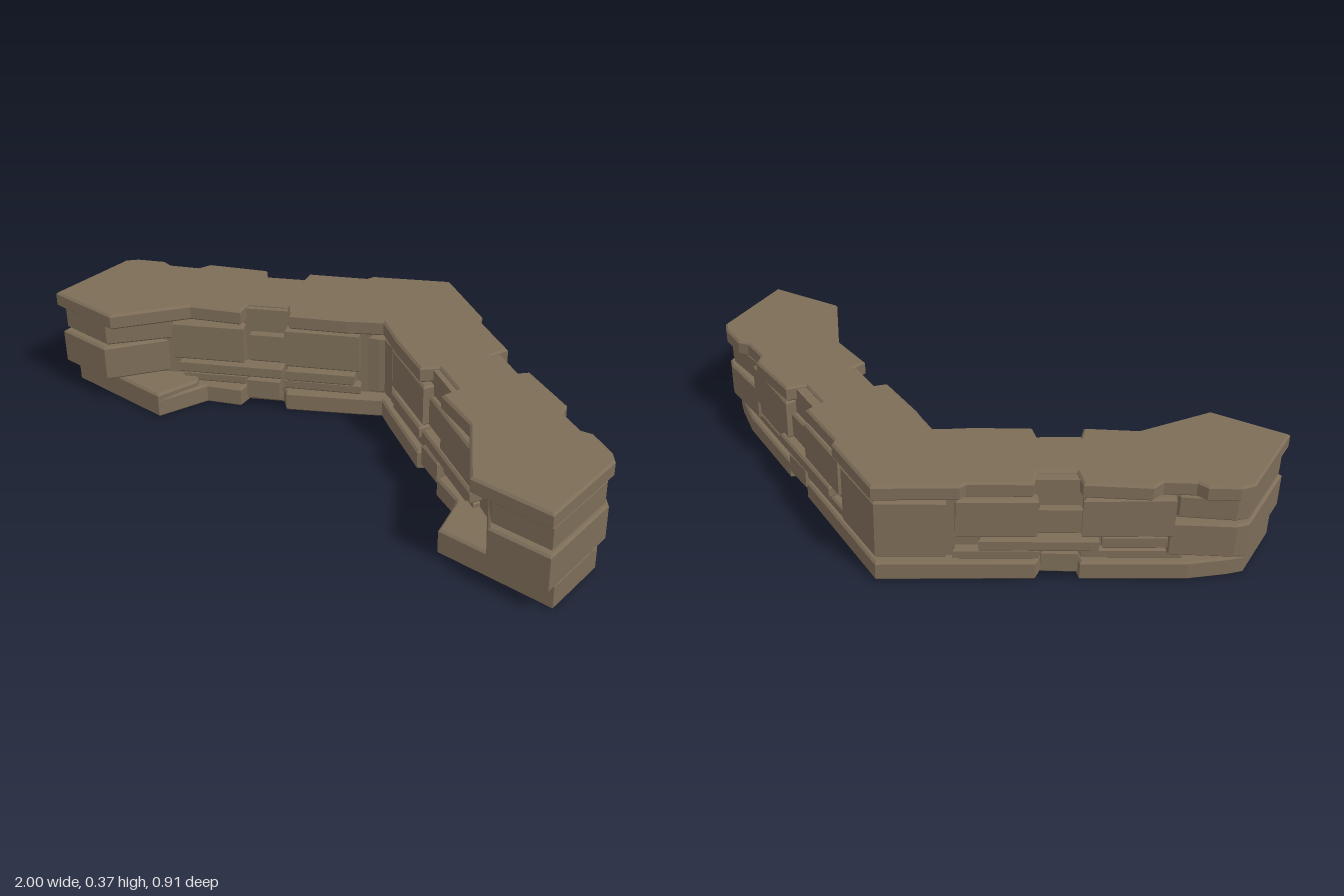
import * as THREE from 'three';

const C = Math.cos(Math.PI / 6), S = 0.5;
// Arm coordinates: u runs along the wall, v points out to the back; gives [x, z]
const arm = (u, v) => [C * u + S * v, S * u - C * v];

export function createModel() {
  const group = new THREE.Group();
  const stone = new THREE.MeshStandardMaterial({ color: 0x7d6d58, flatShading: true });
  let seed = 7;
  const wobble = (a) => {
    seed = (seed * 16807) % 2147483647;
    return (seed / 2147483647 - 0.5) * a;
  };

  // Bevelled slab between two heights, from an [x, z] outline
  function slab(name, y0, y1, pts, b = 0.007) {
    const shape = new THREE.Shape(pts.map(([x, z]) => new THREE.Vector2(x, z)));
    const geo = new THREE.ExtrudeGeometry(shape, {
      depth: y1 - y0 - 2 * b, bevelEnabled: b > 0, bevelSize: b,
      bevelThickness: b, bevelOffset: -b, bevelSegments: 1,
    });
    geo.rotateX(Math.PI / 2).translate(0, y1 - b, 0);
    const mesh = new THREE.Mesh(geo, stone);
    mesh.name = name;
    group.add(mesh);
  }
  const flip = (pts) => pts.map(([x, z]) => [-x, z]);
  function pair(name, y0, y1, pts) {
    slab(name + 'Left', y0, y1, pts);
    slab(name + 'Right', y0, y1, flip(pts));
  }
  // Full chevron from its left half; first and last points lie on x = 0
  function chevron(name, y0, y1, half, b) {
    slab(name, y0, y1, [...half, ...flip(half.slice(1, -1)).reverse()], b);
  }
  // Slightly irregular stone set in both arms
  function brick(name, u0, u1, v0, v1, y0, y1) {
    const p = [[u0, v0], [u1, v0], [u1, v1], [u0, v1]]
      .map(([u, v]) => arm(u + wobble(0.012), v + wobble(0.006)));
    pair(name, y0, y1, p);
  }

  // Recessed core that closes the joints
  chevron('core', 0.01, 0.36, [
    [0, -0.40], arm(0.78, 0.345), [0.96, 0.16], [0.96, 0.36], [0.82, 0.36],
    arm(0.66, 0.11), [0, -0.13],
  ], 0);

  // Coping course with notches along both faces
  chevron('coping', 0.315, 0.37, [
    [0, -0.458], arm(0.04, 0.394), arm(0.06, 0.376), arm(0.265, 0.378), arm(0.28, 0.312),
    arm(0.40, 0.312), arm(0.415, 0.38), arm(0.625, 0.396), arm(0.66, 0.365),
    arm(0.76, 0.37), arm(0.79, 0.395), [0.97, 0.10], [1, 0.135], [1, 0.455], [0.73, 0.455],
    [0.575, 0.235], arm(0.44, 0.07), arm(0.425, 0.13), arm(0.29, 0.13), arm(0.275, 0.07),
    arm(0.08, 0.066), [0.07, -0.04], [0, -0.085],
  ]);

  // Foundation course, with the feet reaching inward
  chevron('foundation', 0, 0.07, [
    [0, -0.447], arm(0.28, 0.384), arm(0.30, 0.34), arm(0.41, 0.34), arm(0.42, 0.384),
    arm(0.76, 0.384), [0.95, 0.13], [0.99, 0.17], [0.99, 0.40], [0.59, 0.40],
    [0.53, 0.225], arm(0.45, 0.06), arm(0.43, 0.11), arm(0.31, 0.11), arm(0.29, 0.06),
    [0.07, -0.035], [0, -0.08],
  ]);

  // End pillar stones
  pair('pillarFoot', 0.03, 0.09, [
    [0.80, 0.07], [0.95, 0.14], [0.99, 0.17], [0.99, 0.40], [0.59, 0.40], [0.55, 0.25], [0.65, 0.12],
  ]);
  pair('pillarLowerStone', 0.093, 0.22, [
    [0.79, 0.02], [0.97, 0.11], [0.997, 0.14], [0.997, 0.445], [0.79, 0.445], [0.65, 0.235], [0.65, 0.12],
  ]);
  pair('pillarUpperStone', 0.224, 0.31, [
    [0.80, 0.05], [0.96, 0.12], [0.99, 0.15], [0.99, 0.43], [0.79, 0.43], [0.64, 0.24], [0.65, 0.12],
  ]);

  // Corner stones at the bend
  chevron('outerCornerStone', 0.09, 0.303, [
    [0, -0.445], arm(0.0, 0.386), arm(0.0, 0.28), [0, -0.32],
  ]);
  chevron('innerCornerStone', 0.09, 0.30, [
    [0, -0.25], [0.05, -0.15], [0.05, -0.07], [0.015, -0.085], [0, -0.095],
  ], 0.004);

  // Outer face stones: start, end, outer v, bottom, top
  [
    ['backInnerStone', 0.03, 0.28, 0.382, 0.165, 0.308],
    ['backOuterStone', 0.42, 0.70, 0.382, 0.165, 0.312],
    ['backMiddleStone', 0.285, 0.415, 0.362, 0.165, 0.265],
    ['backThinStone', 0.10, 0.47, 0.388, 0.115, 0.161],
    ['backThinEndStone', 0.48, 0.72, 0.37, 0.112, 0.161],
    ['backLowStone', 0.02, 0.29, 0.374, 0.072, 0.112],
    ['backLowMiddleStone', 0.295, 0.41, 0.384, 0.03, 0.112],
    ['backLowEndStone', 0.42, 0.74, 0.368, 0.072, 0.11],
  ].forEach(([n, u0, u1, v, y0, y1]) => brick(n, u0, u1, 0.28, v, y0, y1));

  // Inner face stones: start, end, inner v, bottom, top
  [
    ['frontInnerStone', 0.035, 0.29, 0.074, 0.165, 0.31],
    ['frontOuterStone', 0.43, 0.68, 0.074, 0.165, 0.305],
    ['frontMiddleStone', 0.295, 0.425, 0.092, 0.165, 0.275],
    ['frontThinStone', 0.05, 0.29, 0.066, 0.115, 0.161],
    ['frontThinEndStone', 0.30, 0.66, 0.066, 0.115, 0.161],
    ['frontLowStone', 0.04, 0.30, 0.085, 0.072, 0.112],
    ['frontLowMiddleStone', 0.31, 0.43, 0.066, 0.03, 0.112],
    ['frontLowEndStone', 0.435, 0.66, 0.085, 0.072, 0.11],
  ].forEach(([n, u0, u1, v, y0, y1]) => brick(n, u0, u1, v, 0.18, y0, y1));

  return group;
}
